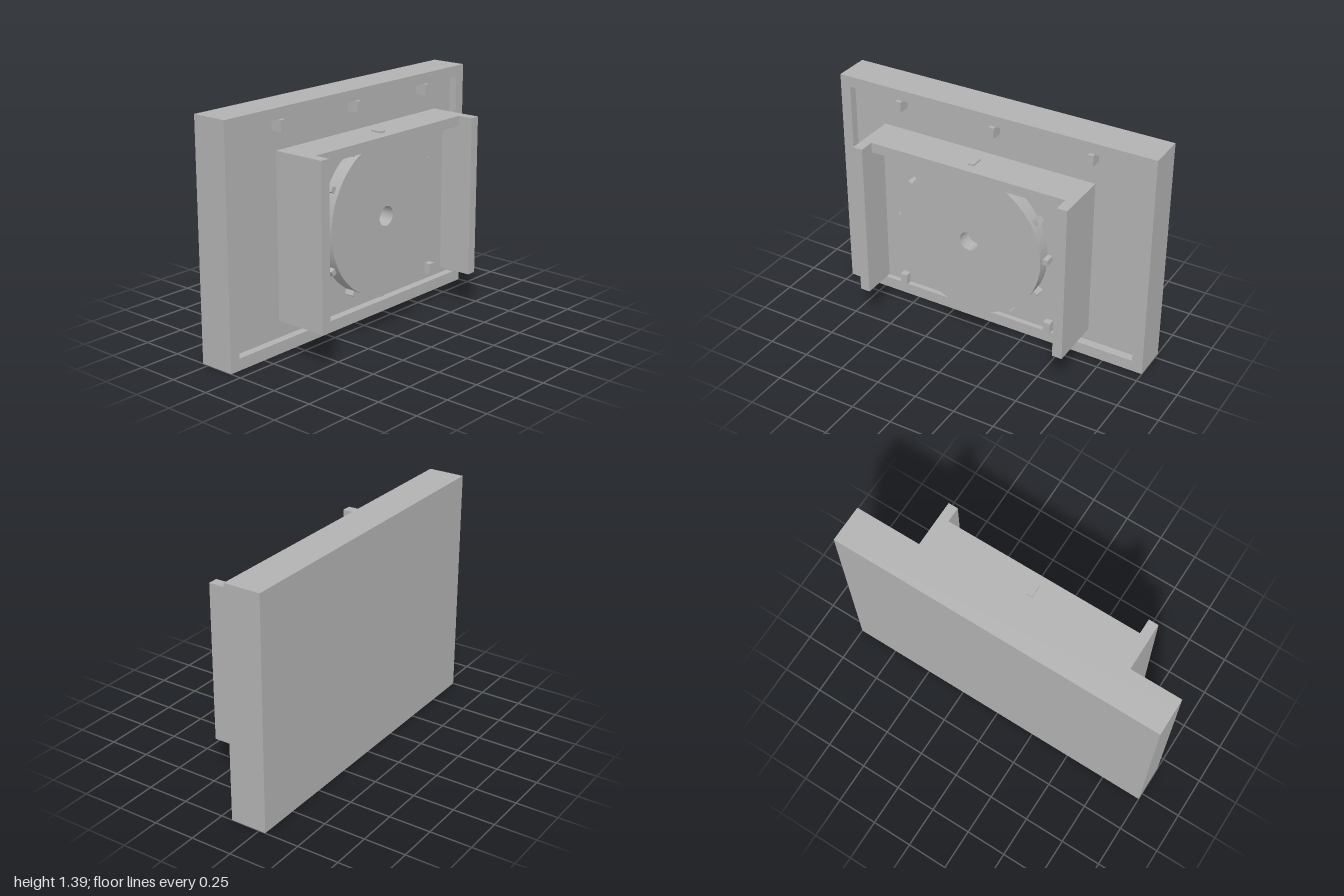
import * as THREE from 'three';

export function createModel() {
  const model = new THREE.Group();
  model.name = 'model';
  const grey = new THREE.MeshStandardMaterial({ color: 0xb2b2b2 });
  grey.name = 'plain grey';

  const add = (name, geometry, parent = model) => {
    const mesh = new THREE.Mesh(geometry, grey);
    mesh.name = name;
    parent.add(mesh);
    return mesh;
  };
  // Box given by its minimum and maximum corners
  const box = (name, x0, x1, y0, y1, z0, z1, parent) => {
    const g = new THREE.BoxGeometry(x1 - x0, y1 - y0, z1 - z0);
    g.translate((x0 + x1) / 2, (y0 + y1) / 2, (z0 + z1) / 2);
    return add(name, g, parent);
  };

  // Shallow tray: back panel with a raised rim
  box('backPanel', -1, 1, 0, 1.39, -0.29, -0.12);
  const rim = new THREE.Shape();
  rim.moveTo(-1, 0).lineTo(1, 0).lineTo(1, 1.39).lineTo(-1, 1.39).closePath();
  const opening = new THREE.Path();
  opening.moveTo(-0.935, 0.07).lineTo(-0.935, 1.325).lineTo(0.935, 1.325).lineTo(0.935, 0.07).closePath();
  rim.holes.push(opening);
  add('trayRim', new THREE.ExtrudeGeometry(rim, { depth: 0.05, bevelEnabled: false })
    .translate(0, 0, -0.12));

  // Small tabs hanging under the upper rim
  for (const x of [-0.593, 0.017, 0.625])
    box('upperTab', x - 0.017, x + 0.017, 1.26, 1.325, -0.12, -0.05);

  // Round hub joining the tray and the inner frame
  const hub = new THREE.CylinderGeometry(0.138, 0.138, 0.09, 64);
  hub.rotateX(Math.PI / 2).translate(0, 0.7, -0.075);
  add('hub', hub);

  // Inner frame: plate, top bar and two deeper side walls, open below
  const frame = new THREE.Group();
  frame.name = 'innerFrame';
  model.add(frame);
  box('framePlate', -0.61, 0.61, 0.22, 1.115, -0.03, 0.08, frame);
  box('frameTop', -0.61, 0.61, 1.115, 1.175, -0.03, 0.2, frame);
  for (const s of [-1, 1]) {
    const x = s * 0.64;
    box('frameSide', x - 0.03, x + 0.03, 0.22, 1.175, -0.03, 0.293, frame);
    const t = s * 0.48;
    box('lowerTab', t - 0.022, t + 0.022, 0.22, 0.285, 0.08, 0.12, frame);
  }

  // Wheel with a centre bore and twelve teeth
  const wheel = new THREE.Group();
  wheel.name = 'wheel';
  wheel.position.set(0, 0.7, 0);
  model.add(wheel);
  const disc = new THREE.Shape().absarc(0, 0, 0.455, 0, Math.PI * 2, false);
  disc.holes.push(new THREE.Path().absarc(0, 0, 0.058, 0, Math.PI * 2, true));
  add('wheelDisc', new THREE.ExtrudeGeometry(disc, { depth: 0.085, bevelEnabled: false, curveSegments: 64 })
    .translate(0, 0, 0.08), wheel);
  for (let i = 0; i < 12; i++) {
    const tooth = box('tooth', 0.445, 0.485, -0.017, 0.017, 0.065, 0.138, wheel);
    tooth.rotation.z = i * Math.PI / 6;
  }
  return model;
}
